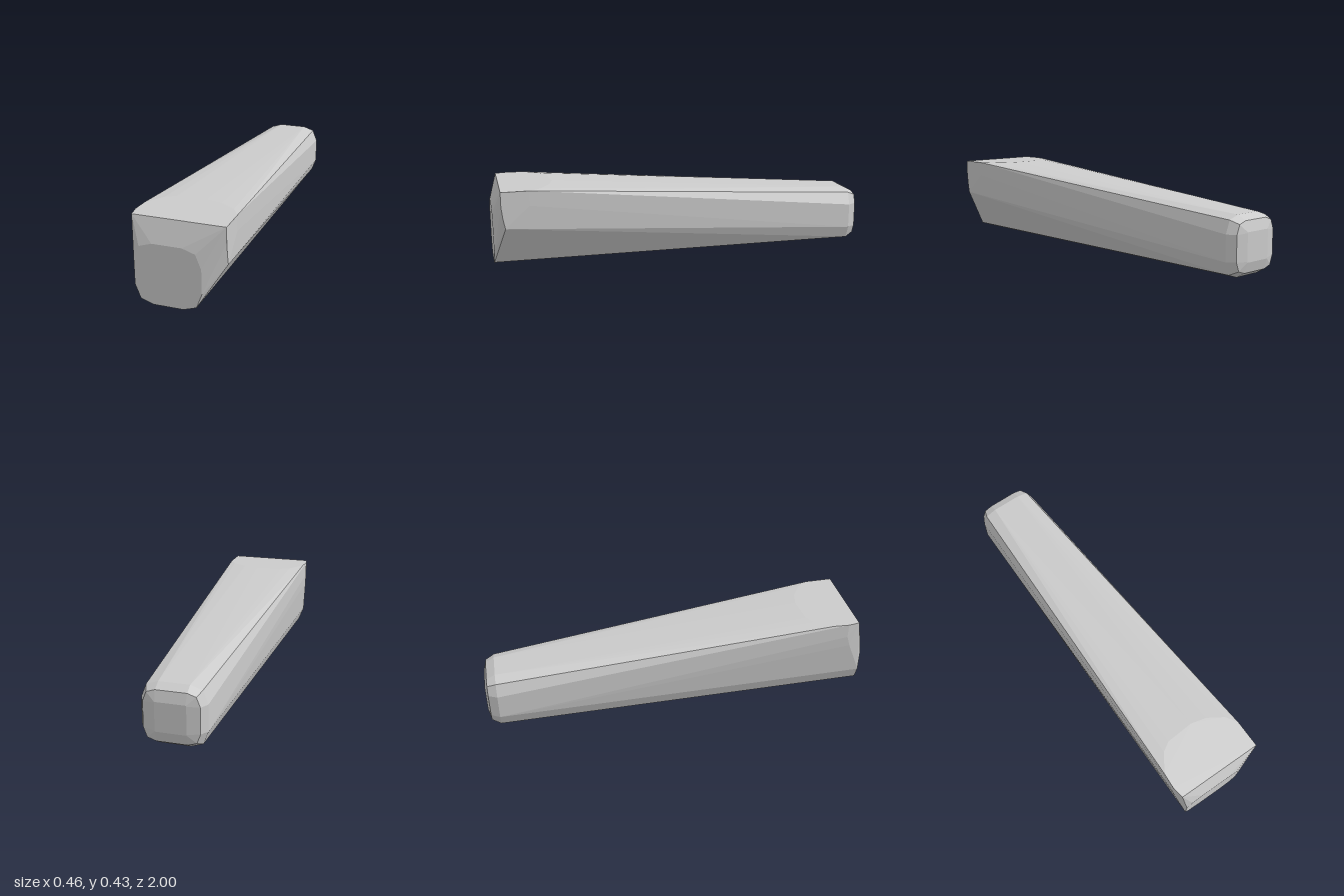
import * as THREE from 'three';
import { ConvexGeometry } from 'three/addons/geometries/ConvexGeometry.js';

// Chamfered rectangular ring: corners cut twice, like a two-step bevel
function ring(x0, x1, y0, y1, z, cut) {
  const cx = (x0 + x1) / 2, cy = (y0 + y1) / 2;
  const w = (x1 - x0) / 2, h = (y1 - y0) / 2;
  const points = [];
  for (const sx of [-1, 1]) for (const sy of [-1, 1]) {
    for (const [dx, dy] of [[cut, 0], [cut * 0.3, cut * 0.23], [0, cut]]) {
      points.push(new THREE.Vector3(cx + sx * (w - dx), cy + sy * (h - dy), z));
    }
  }
  return points;
}

export function createModel() {
  const group = new THREE.Group();
  const v = (x, y, z) => new THREE.Vector3(x, y, z);

  const points = [
    // narrow rounded tail
    ...ring(-0.118, 0.032, 0.078, 0.22, -1, 0.004),
    ...ring(-0.178, 0.092, 0.026, 0.272, -0.985, 0.06),
    ...ring(-0.2, 0.116, 0, 0.295, -0.94, 0.083),
    // flat front face
    ...ring(-0.2, 0.125, 0.011, 0.313, 1, 0.09),
    // flared upper corners just behind the front face
    v(-0.22, 0.425, 0.96), v(0.23, 0.425, 0.96),
    v(0.23, 0.35, 0.96), v(0.23, 0.29, 0.953), v(0.23, 0.24, 0.943),
    v(-0.23, 0.425, 0.9), v(-0.23, 0.35, 0.9), v(-0.225, 0.29, 0.92),
    // curved rear border of the level top patch
    v(-0.225, 0.425, 0.82), v(-0.165, 0.425, 0.73), v(-0.115, 0.425, 0.7),
    v(0.03, 0.425, 0.69), v(0.11, 0.425, 0.71), v(0.19, 0.425, 0.76),
    v(0.228, 0.425, 0.82), v(0.228, 0.35, 0.82),
  ];

  const body = new THREE.Mesh(
    new ConvexGeometry(points),
    new THREE.MeshStandardMaterial({ color: 0xcccccc, flatShading: true })
  );
  body.name = 'taperedBody';
  group.add(body);
  return group;
}
